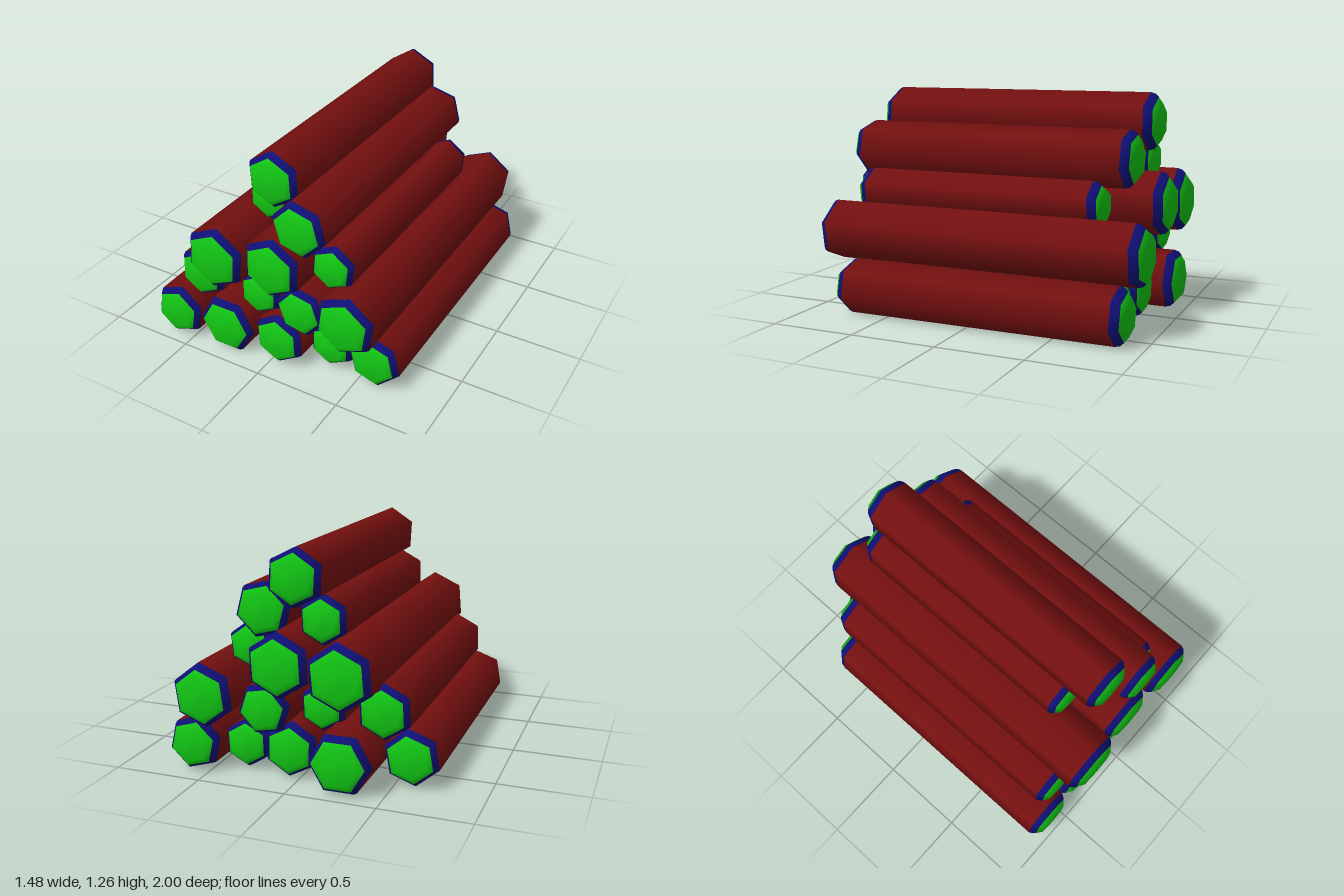
import * as THREE from 'three';

const bark = new THREE.MeshStandardMaterial({ color: 0x761010 });
bark.name = 'bark red';
const rim = new THREE.MeshStandardMaterial({ color: 0x101078 });
rim.name = 'rim blue';
const wood = new THREE.MeshStandardMaterial({ color: 0x12c814 });
wood.name = 'cut wood green';

// Each log: centre x, centre y, radius, corner angle in degrees, back z, front z
const LOGS = [
  // bottom row
  [-0.59, 0.165, 0.158, 20, -0.75, 0.97],
  [-0.27, 0.168, 0.176, 0, -0.97, 0.95],
  [0.05, 0.165, 0.156, 32, -0.85, 0.91],
  [0.32, 0.155, 0.140, 28, -0.81, 0.79],
  [0.59, 0.158, 0.156, 43, -0.92, 0.81],
  // second row
  [-0.46, 0.425, 0.154, 27, -0.82, 0.89],
  [-0.098, 0.39, 0.135, 29, -0.75, 0.85],
  [0.185, 0.39, 0.149, 49, -0.89, 0.89],
  [0.495, 0.46, 0.178, 22, -0.99, 0.96],
  // third row
  [-0.28, 0.64, 0.186, 25, -1.0, 1.0],
  [0.057, 0.667, 0.179, 27, -0.99, 0.96],
  [0.342, 0.68, 0.134, 24, -0.7, 0.81],
  // fourth row
  [-0.137, 0.89, 0.138, 28, -0.84, 0.66],
  [0.2, 0.92, 0.162, 45, -0.84, 0.91],
  // top
  [-0.005, 1.11, 0.161, 33, -0.9, 0.82],
];

// Six-sided turned part whose axis runs along z; profile is [radius, z] from back to front
function hexTurned(name, profile, material) {
  const geo = new THREE.LatheGeometry(profile.map(([r, z]) => new THREE.Vector2(r, z)), 6);
  geo.rotateX(Math.PI / 2);
  const mesh = new THREE.Mesh(geo, material);
  mesh.name = name;
  return mesh;
}

function makeLog([x, y, r, angle, back, front], i) {
  const log = new THREE.Group();
  log.name = `log${i + 1}`;

  // Bark shell between the two bevelled ends
  log.add(hexTurned('bark', [[r, back + 0.08], [r, 0], [r, front - 0.07]], bark));

  // Bevelled rim and domed cut face, from the outside edge to the tip
  const rimProfile = (tip, s) => [[r, tip - s * (s > 0 ? 0.07 : 0.08)], [r * 0.95, tip - s * 0.05], [r * 0.84, tip - s * 0.032]];
  const capProfile = (tip, s) => [[r * 0.84, tip - s * 0.032], [r * 0.62, tip - s * 0.006], [0, tip]];
  log.add(
    hexTurned('frontRim', rimProfile(front, 1), rim),
    hexTurned('frontCutFace', capProfile(front, 1), wood),
    hexTurned('backRim', rimProfile(back, -1).reverse(), rim),
    hexTurned('backCutFace', capProfile(back, -1).reverse(), wood),
  );

  log.position.set(x, y, 0);
  log.rotation.z = THREE.MathUtils.degToRad(angle - 30);
  return log;
}

export function createModel() {
  const pile = new THREE.Group();
  pile.name = 'logPile';
  LOGS.forEach((spec, i) => pile.add(makeLog(spec, i)));
  return pile;
}
